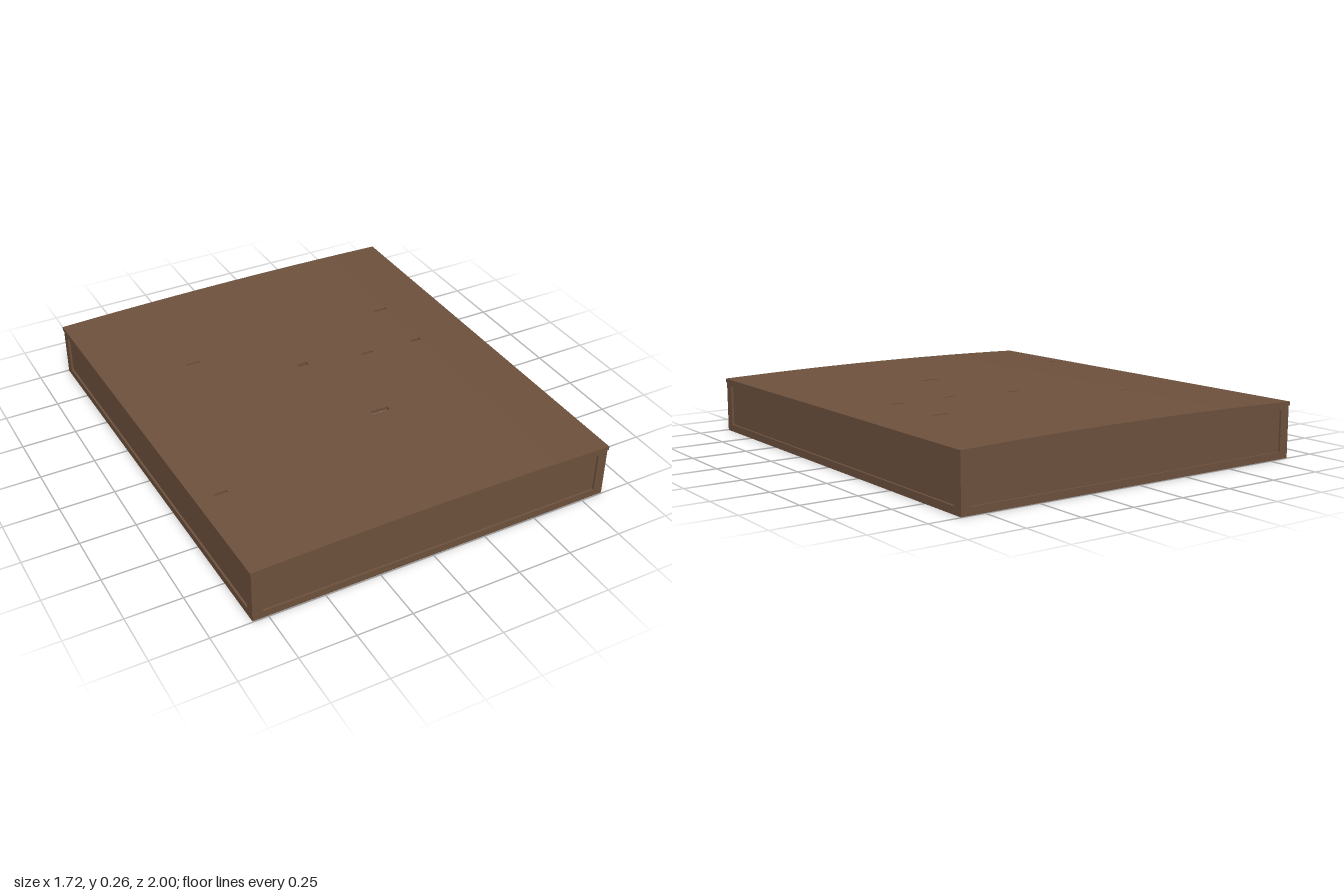
import * as THREE from 'three';

const HALF_W = 0.86, HALF_D = 1, RAIL = 0.045;

// One side leans inward toward the front, and the lid bulges gently in the middle.
function warp(x, y, z) {
  const wx = x < 0 ? x * (1 - 0.022 * (z + 1)) : x;
  const wy = y > 0.2 ? y + 0.013 * (1 - (x / HALF_W) ** 2) : y;
  return [wx, wy, z];
}

function warpGeometry(geometry) {
  const p = geometry.attributes.position;
  for (let i = 0; i < p.count; i++) p.setXYZ(i, ...warp(p.getX(i), p.getY(i), p.getZ(i)));
  geometry.computeVertexNormals();
  return geometry;
}

// Small slits torn through the lid: centre x, centre z, width, depth
const slits = [
  [-0.446, -0.4, 0.06, 0.012], [0.56, -0.41, 0.07, 0.015], [0, -0.15, 0.05, 0.022],
  [0.31, -0.1, 0.06, 0.014], [0.57, -0.095, 0.05, 0.018], [0.13, 0.33, 0.085, 0.022],
  [-0.745, 0.515, 0.06, 0.014],
];

// Thin slab on a grid, leaving out the cells that fall inside a slit
function lidGeometry(y0, y1) {
  const xs = [], zs = [];
  for (let i = 0; i <= 12; i++) xs.push(-HALF_W + (2 * HALF_W * i) / 12);
  zs.push(-HALF_D, HALF_D);
  for (const [x, z, w, d] of slits) {
    xs.push(x - w / 2, x + w / 2);
    zs.push(z - d / 2, z + d / 2);
  }
  xs.sort((a, b) => a - b);
  zs.sort((a, b) => a - b);

  const solid = (i, j) => {
    if (i < 0 || j < 0 || i >= xs.length - 1 || j >= zs.length - 1) return false;
    const cx = (xs[i] + xs[i + 1]) / 2, cz = (zs[j] + zs[j + 1]) / 2;
    return !slits.some(([x, z, w, d]) => Math.abs(cx - x) < w / 2 && Math.abs(cz - z) < d / 2);
  };
  const pos = [];
  const quad = (a, b, c, d) => {
    for (const v of [a, b, c, a, c, d]) pos.push(...warp(...v));
  };
  for (let i = 0; i < xs.length - 1; i++) {
    for (let j = 0; j < zs.length - 1; j++) {
      if (!solid(i, j)) continue;
      const a = xs[i], b = xs[i + 1], c = zs[j], d = zs[j + 1];
      quad([a, y1, d], [b, y1, d], [b, y1, c], [a, y1, c]);
      quad([a, y0, c], [b, y0, c], [b, y0, d], [a, y0, d]);
      if (!solid(i - 1, j)) quad([a, y0, c], [a, y0, d], [a, y1, d], [a, y1, c]);
      if (!solid(i + 1, j)) quad([b, y0, d], [b, y0, c], [b, y1, c], [b, y1, d]);
      if (!solid(i, j - 1)) quad([b, y0, c], [a, y0, c], [a, y1, c], [b, y1, c]);
      if (!solid(i, j + 1)) quad([a, y0, d], [b, y0, d], [b, y1, d], [a, y1, d]);
    }
  }
  const geometry = new THREE.BufferGeometry();
  geometry.setAttribute('position', new THREE.Float32BufferAttribute(pos, 3));
  geometry.computeVertexNormals();
  return geometry;
}

export function createModel() {
  const model = new THREE.Group();
  model.name = 'openBottomTray';
  const brown = new THREE.MeshStandardMaterial({ color: 0x6e523d });
  brown.name = 'brown';

  const add = (name, geometry) => {
    const mesh = new THREE.Mesh(geometry, brown);
    mesh.name = name;
    model.add(mesh);
  };
  const box = (name, w, h, d, x, y, z) => {
    const segX = w > 1 ? 12 : 1;
    add(name, warpGeometry(new THREE.BoxGeometry(w, h, d, segX).translate(x, y, z)));
  };

  add('lid', lidGeometry(0.233, 0.25));

  // Four walls, each a recessed panel framed by rails
  const px = HALF_W - 0.004 - RAIL / 2, pz = HALF_D - 0.004 - RAIL / 2;
  const lenX = 2 * px - RAIL, lenZ = 2 * pz - RAIL;
  for (const s of [-1, 1]) {
    const end = s > 0 ? 'front' : 'back', side = s > 0 ? 'left' : 'right';
    box(end + 'Panel', lenX, 0.235, 0.026, 0, 0.1185, s * pz);
    box(end + 'BottomRail', lenX, 0.033, RAIL, 0, 0.0165, s * pz);
    box(end + 'TopRail', lenX, 0.02, RAIL, 0, 0.226, s * pz);
    box(side + 'Panel', 0.026, 0.235, lenZ, s * px, 0.1185, 0);
    box(side + 'BottomRail', RAIL, 0.033, lenZ, s * px, 0.0165, 0);
    box(side + 'TopRail', RAIL, 0.02, lenZ, s * px, 0.226, 0);
    for (const t of [-1, 1]) box('cornerPost', RAIL, 0.236, RAIL, s * px, 0.118, t * pz);
  }
  return model;
}
